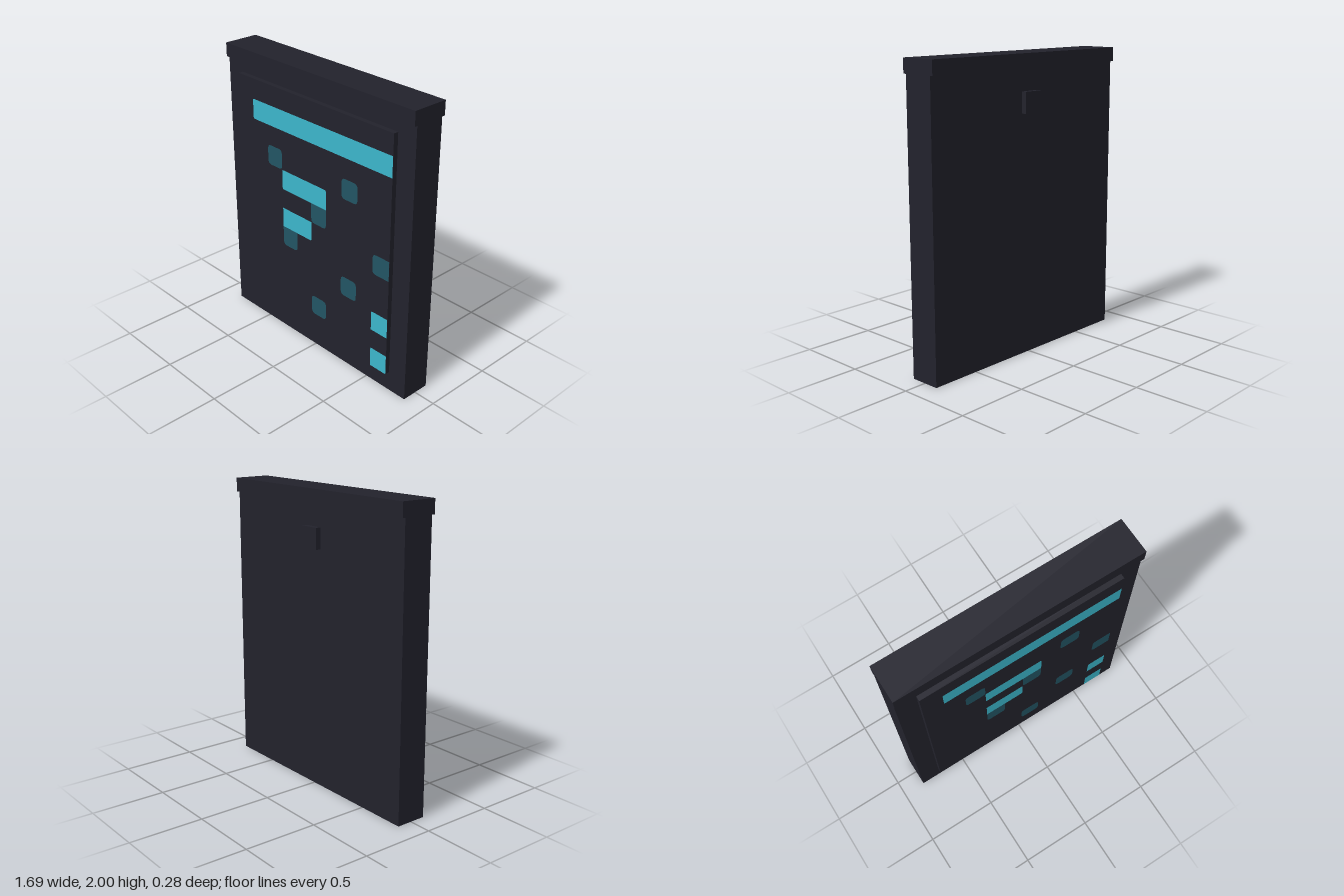
import * as THREE from 'three';

const U = 0.1406; // one cell of the panel grid

export function createModel() {
  const model = new THREE.Group();
  const mat = (name, color) => Object.assign(new THREE.MeshStandardMaterial({ color }), { name });
  const dark = mat('dark casing', 0x22222c);
  const cyan = mat('bright cyan', 0x3cb6cb);
  const teal = mat('dim teal', 0x225564);

  const box = (name, x0, x1, y0, y1, z0, z1) => {
    const mesh = new THREE.Mesh(new THREE.BoxGeometry(x1 - x0, y1 - y0, z1 - z0), dark);
    mesh.position.set((x0 + x1) / 2, (y0 + y1) / 2, (z0 + z1) / 2);
    mesh.name = name;
    model.add(mesh);
  };

  // Casing
  box('body', -0.843, 0.843, 0, 1.906, -0.105, 0.105);
  box('topCap', -0.844, 0.844, 1.906, 2, -0.126, 0.126);
  box('frontPanel', -5 * U, 5 * U, U, 13 * U, 0.1, 0.139);
  box('rearBlock', -U / 2, U / 2, 1.62, 1.76, -0.14, -0.1);

  // Thin plate on the panel; cut lists the corner cuts: bl, br, tr, tl
  const plate = (name, material, col, row, width, cut) => {
    const w = width * U, [a, b, c, d] = cut;
    const s = new THREE.Shape();
    s.moveTo(a, 0);
    s.lineTo(w - b, 0);
    s.quadraticCurveTo(w, 0, w, b);
    s.lineTo(w, U - c);
    s.quadraticCurveTo(w, U, w - c, U);
    s.lineTo(d, U);
    s.quadraticCurveTo(0, U, 0, U - d);
    s.lineTo(0, a);
    s.quadraticCurveTo(0, 0, a, 0);
    const mesh = new THREE.Mesh(new THREE.ShapeGeometry(s, 3), material);
    mesh.position.set(col * U, row * U, 0.1405);
    mesh.name = name;
    model.add(mesh);
  };

  // Bright bars and squares
  const n = 0.012;
  [
    [-4, 11, 9, [n, 0, 0, n]],
    [-2, 8, 3, [n, 0, n, 0]],
    [-2, 6, 2, [0, n, 0, 0]],
    [4, 3, 1, [0, 0, 0, n]],
    [4, 1, 1, [0, 0, 0, n]],
  ].forEach(([col, row, w, cut], i) => plate('brightBar' + (i + 1), cyan, col, row, w, cut));

  // Dim rounded squares
  const r = 0.03;
  [
    [-3, 9, [r, r, r, r]],
    [2, 9, [r, r, r, r]],
    [0, 7, [r, r, 0, 0]],
    [4, 6, [r, 0, 0, r]],
    [-2, 5, [r, r, 0, 0]],
    [2, 4, [r, r, r, r]],
    [0, 2, [r, r, r, r]],
  ].forEach(([col, row, cut], i) => plate('dimSquare' + (i + 1), teal, col, row, 1, cut));

  return model;
}
